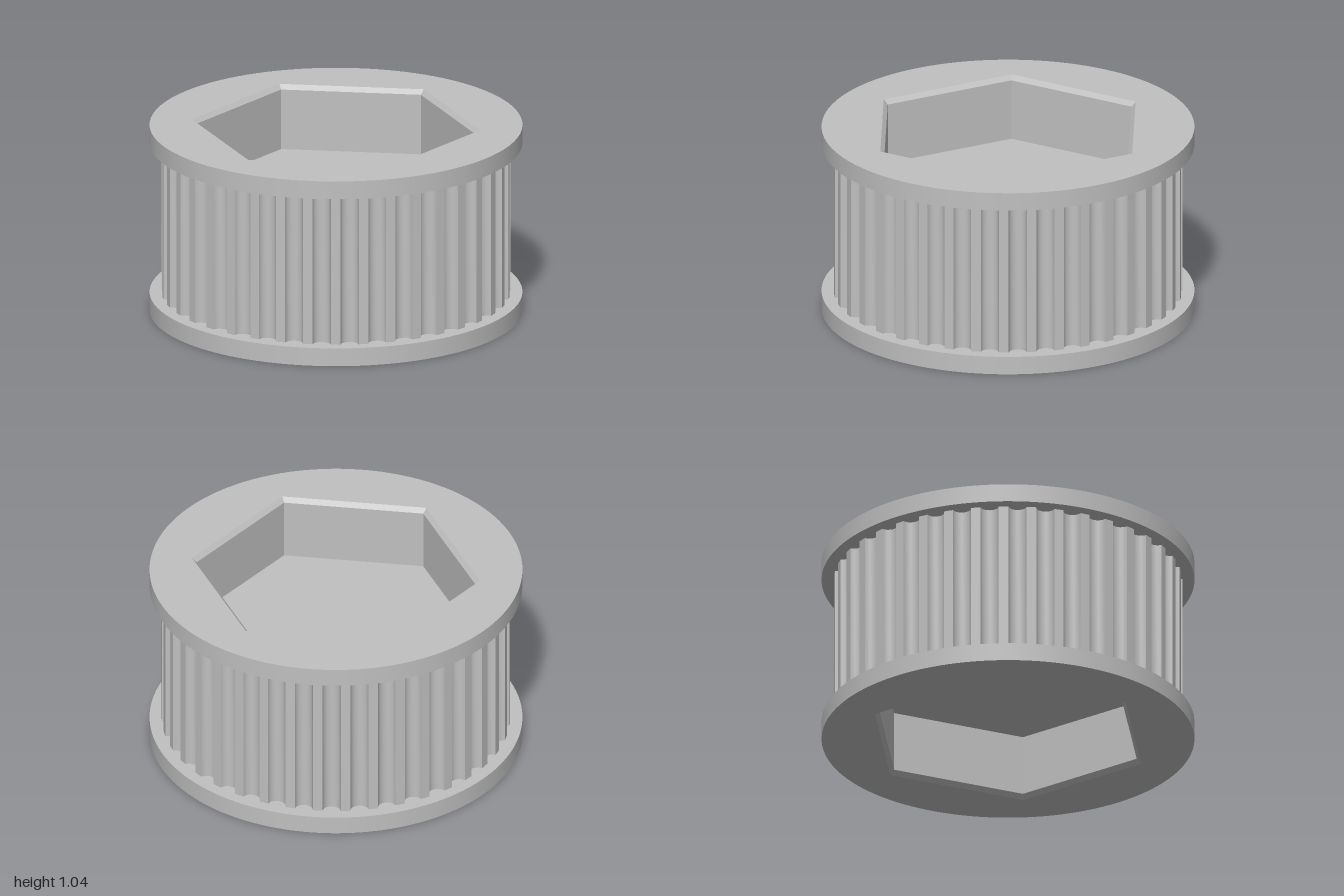
import * as THREE from 'three';
import { toCreasedNormals } from 'three/addons/utils/BufferGeometryUtils.js';

const HALF = 0.52;          // half of the total height
const FLANGE = 0.1;         // flange thickness
const FLOOR = 0.16;         // pocket floor above the mid plane
const HEX = 0.755, HOLE = 0.16, CHAMFER = 0.025;
const TEETH = 39, LAND_R = 0.935, GROOVE = 0.045;

// Turn a surface inside out, so that it shows from within.
function inward(geometry) {
  const idx = geometry.index.array;
  for (let i = 0; i < idx.length; i += 3) [idx[i], idx[i + 1]] = [idx[i + 1], idx[i]];
  const n = geometry.attributes.normal.array;
  for (let i = 0; i < n.length; i++) n[i] = -n[i];
  return geometry;
}

// Open tube from y0 (radius r0) up to y1 (radius r1).
function tube(r0, r1, y0, y1, sides) {
  return new THREE.CylinderGeometry(r1, r0, y1 - y0, sides, 1, true).translate(0, (y0 + y1) / 2, 0);
}

function flat(geometry) {
  const g = geometry.toNonIndexed();
  g.computeVertexNormals();
  return g;
}

function circle(target, r) {
  target.absarc(0, 0, r, 0, Math.PI * 2, false);
  return target;
}

// Hexagon with corners towards the front and back.
function hexagon(Type, r) {
  const pts = [];
  for (let i = 0; i < 6; i++) {
    const a = (i * Math.PI) / 3;
    pts.push(new THREE.Vector2(Math.sin(a) * r, Math.cos(a) * r));
  }
  return new Type(pts);
}

// Upward facing plate with a hole.
function plate(shape, hole, y) {
  shape.holes.push(hole);
  return new THREE.ShapeGeometry(shape, 64).rotateX(-Math.PI / 2).translate(0, y, 0);
}

// Outline of narrow lands with rounded grooves between them.
function toothOutline() {
  const pts = [], pitch = (Math.PI * 2) / TEETH, land = 0.028, steps = 10;
  const halfGroove = pitch / 2 - land;
  for (let i = 0; i < TEETH; i++) {
    for (let k = 0; k <= steps; k++) {
      const t = (k / steps) * Math.PI;
      const a = (i + 0.5) * pitch - Math.cos(t) * halfGroove - Math.PI / 2;
      const r = LAND_R - Math.sin(t) * GROOVE;
      pts.push(new THREE.Vector2(Math.cos(a) * r, Math.sin(a) * r));
    }
  }
  return new THREE.Shape(pts);
}

export function createModel() {
  const metal = new THREE.MeshStandardMaterial({ color: 0xc0c0c0 });
  metal.name = 'light grey metal';
  const model = new THREE.Group();
  model.name = 'toothedPulley';

  const add = (parent, name, geometry) => {
    const mesh = new THREE.Mesh(geometry, metal);
    mesh.name = name;
    parent.add(mesh);
  };

  // Toothed belt drum between the flanges
  const outline = toothOutline();
  outline.holes.push(hexagon(THREE.Path, HEX + 0.02));
  const length = 2 * (HALF - FLANGE);
  const drum = new THREE.ExtrudeGeometry(outline, { depth: length, bevelEnabled: false })
    .rotateX(-Math.PI / 2).translate(0, FLANGE, 0);
  add(model, 'toothedDrum', toCreasedNormals(drum, 0.6));

  // One end: flange, hexagonal pocket and half of the bore
  const end = new THREE.Group();
  end.name = 'topEnd';
  const lip = HALF - CHAMFER;
  add(end, 'flangeRim', tube(1, 1, HALF - FLANGE, HALF, 128));
  add(end, 'flangeFace',
    plate(circle(new THREE.Shape(), 1), hexagon(THREE.Path, HEX + CHAMFER), HALF));
  add(end, 'flangeInnerFace',
    new THREE.RingGeometry(0.87, 1, 128).rotateX(Math.PI / 2).translate(0, HALF - FLANGE, 0));
  add(end, 'pocketChamfer', flat(inward(tube(HEX, HEX + CHAMFER, lip, HALF, 6))));
  add(end, 'pocketWalls', flat(inward(tube(HEX, HEX, FLOOR, lip, 6))));
  add(end, 'pocketFloor',
    plate(hexagon(THREE.Shape, HEX), circle(new THREE.Path(), HOLE + CHAMFER), FLOOR));
  add(end, 'boreChamfer',
    inward(tube(HOLE, HOLE + CHAMFER, FLOOR - CHAMFER, FLOOR, 64)));
  add(end, 'boreWall', inward(tube(HOLE, HOLE, 0, FLOOR - CHAMFER, 64)));
  end.position.y = HALF;
  model.add(end);

  // The other end is the same, turned over
  const bottom = end.clone();
  bottom.name = 'bottomEnd';
  bottom.rotation.x = Math.PI;
  model.add(bottom);

  return model;
}
